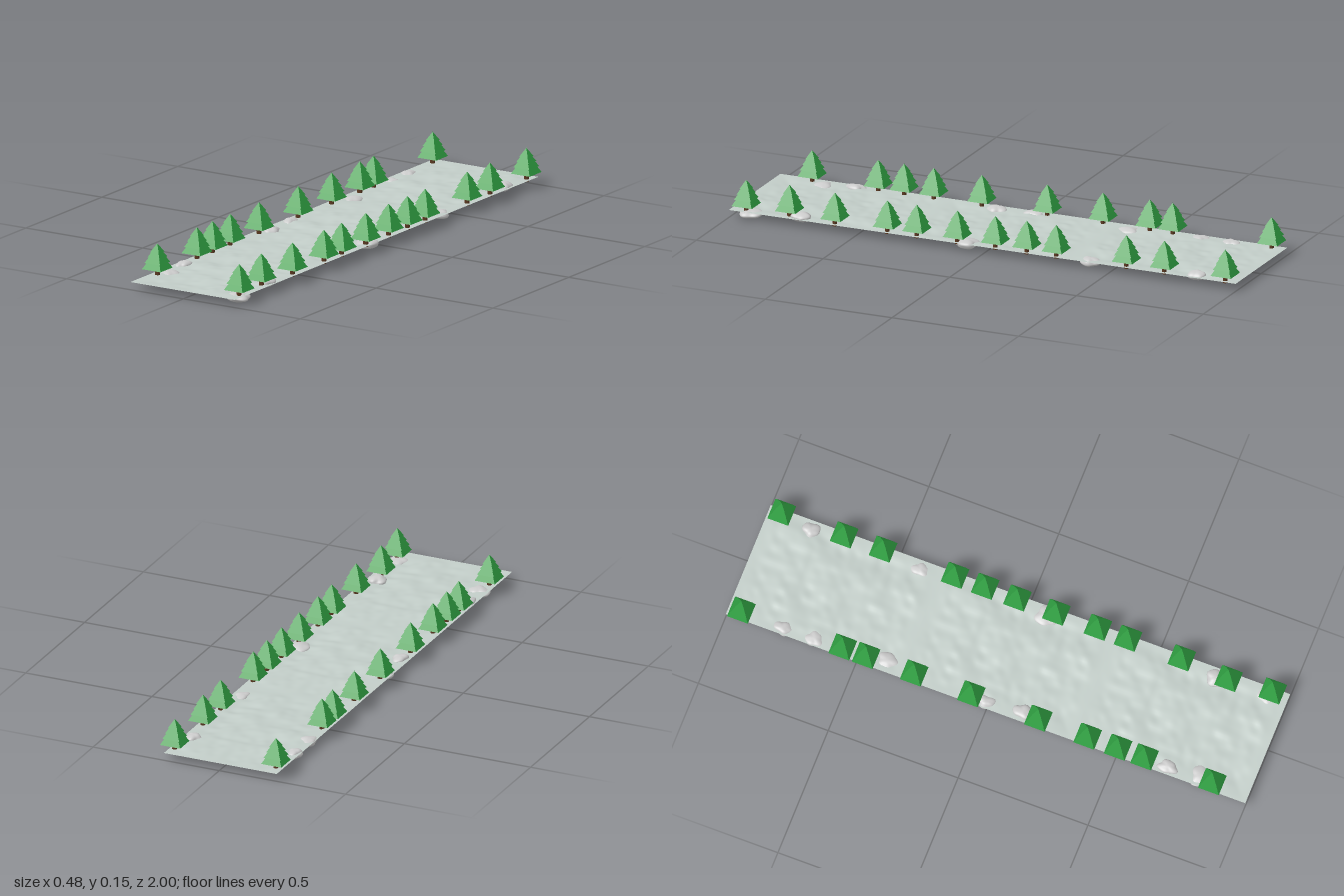
import * as THREE from 'three';
import { mergeVertices } from 'three/addons/utils/BufferGeometryUtils.js';

const mat = (color, extra = {}) => new THREE.MeshStandardMaterial({ color, ...extra });
const materials = {
  ground: mat(0xc2cdc8, { side: THREE.DoubleSide }),
  rock: mat(0xcccccc),
  needles: mat(0x2f9e41, { flatShading: true }),
  trunk: mat(0x5a3820, { flatShading: true }),
};

// Smooth repeatable value noise
function hash(x, y) {
  const s = Math.sin(x * 127.1 + y * 311.7) * 43758.5453;
  return s - Math.floor(s);
}
function noise(x, y) {
  const ix = Math.floor(x), iy = Math.floor(y);
  const s = t => t * t * (3 - 2 * t);
  const u = s(x - ix), v = s(y - iy), mix = THREE.MathUtils.lerp;
  return mix(mix(hash(ix, iy), hash(ix + 1, iy), u), mix(hash(ix, iy + 1), hash(ix + 1, iy + 1), u), v);
}

// One bumpy ground tile, flat along its borders so that tiles join
const TILE_WIDTH = 0.447, TILE_LENGTH = 2 / 3;
function groundTile() {
  const g = new THREE.PlaneGeometry(TILE_WIDTH, TILE_LENGTH, 44, 66).rotateX(-Math.PI / 2);
  const p = g.attributes.position;
  for (let i = 0; i < p.count; i++) {
    const x = p.getX(i), z = p.getZ(i);
    const border = Math.min(TILE_WIDTH / 2 - Math.abs(x), TILE_LENGTH / 2 - Math.abs(z));
    const fade = THREE.MathUtils.smoothstep(border, 0, 0.07);
    const n = 0.65 * noise(x * 13 + 20, z * 13 + 20) + 0.35 * noise(x * 34 + 50, z * 34 + 50);
    p.setY(i, (n - 0.5) * 0.016 * fade);
  }
  g.computeVertexNormals();
  return g;
}

// Lumpy flattened boulder of unit radius
function rockGeometry(seed) {
  let g = new THREE.IcosahedronGeometry(1, 6);
  g.deleteAttribute('normal');
  g.deleteAttribute('uv');
  g = mergeVertices(g, 1e-4);
  const p = g.attributes.position, v = new THREE.Vector3();
  for (let i = 0; i < p.count; i++) {
    v.fromBufferAttribute(p, i);
    const a = Math.atan2(v.z, v.x), flat = Math.hypot(v.x, v.z);
    const r = 0.93 + flat * (0.07 * Math.sin(3 * a + seed) + 0.05 * Math.sin(5 * a + seed * 2))
      + 0.05 * Math.sin(4 * v.y + 3 * v.x + seed);
    p.setXYZ(i, v.x * r, v.y * r, v.z * r);
  }
  g.computeVertexNormals();
  return g;
}

// Square stepped conifer: [half width, base height, top height] for each tier
const TIERS = [[0.04, 0.0535, 0.125], [0.0335, 0.076, 0.134], [0.026, 0.096, 0.141], [0.0185, 0.115, 0.147]];
const tierGeometries = TIERS.map(([half, y0, y1]) =>
  new THREE.ConeGeometry(half * Math.SQRT2, y1 - y0, 4).rotateY(Math.PI / 4).translate(0, (y0 + y1) / 2, 0));
const trunkGeometry = new THREE.CylinderGeometry(0.009, 0.009, 0.04, 6).translate(0, 0.042, 0);

function createTree(x, z) {
  const tree = new THREE.Group();
  tree.name = 'tree';
  const trunk = new THREE.Mesh(trunkGeometry, materials.trunk);
  trunk.name = 'trunk';
  tree.add(trunk);
  for (const g of tierGeometries) {
    const tier = new THREE.Mesh(g, materials.needles);
    tier.name = 'branchTier';
    tree.add(tier);
  }
  tree.position.set(x, 0, z);
  return tree;
}

export function createModel() {
  const model = new THREE.Group();
  model.name = 'treeLinedGround';

  // Ground strip made of three tiles
  const tile = groundTile();
  for (let i = -1; i <= 1; i++) {
    const ground = new THREE.Mesh(tile, materials.ground);
    ground.name = 'ground';
    ground.position.set(-0.004, 0.03, i * TILE_LENGTH);
    model.add(ground);
  }

  // Trees along both borders
  const rightRow = [-0.95, -0.56, -0.47, -0.285, 0.065 * -1, 0.193, 0.383, 0.5, 0.602, 0.863];
  const leftRow = [-0.95, -0.71, -0.56, -0.283, -0.167, -0.043, 0.107, 0.267, 0.383, 0.59, 0.94];
  for (const z of rightRow) model.add(createTree(-0.201, z));
  for (const z of leftRow) model.add(createTree(0.2, z));
  model.add(createTree(0.187, 0.775));

  // Rocks: x, centre height, z, half width, half length
  const rocks = [
    [-0.2, 0.022, -0.79, 0.028, 0.038], [-0.198, 0.022, -0.67, 0.034, 0.038],
    [-0.183, 0.019, -0.395, 0.036, 0.046], [-0.2, 0.024, -0.01, 0.026, 0.04],
    [-0.19, 0.026, 0.13, 0.031, 0.04], [-0.198, 0.027, 0.69, 0.028, 0.04],
    [-0.186, 0.02, 0.81, 0.043, 0.038],
    [0.182, 0.028, -0.83, 0.031, 0.036], [0.185, 0.021, -0.41, 0.03, 0.04],
    [0.184, 0.023, 0.075, 0.043, 0.045], [0.18, 0.03, 0.73, 0.034, 0.04],
    [0.188, 0.019, 0.925, 0.044, 0.045],
  ];
  rocks.forEach(([x, y, z, w, l], i) => {
    const rock = new THREE.Mesh(rockGeometry(i * 1.7), materials.rock);
    rock.name = 'rock';
    rock.position.set(x, y, z);
    rock.scale.set(w, 0.018, l);
    model.add(rock);
  });
  return model;
}
